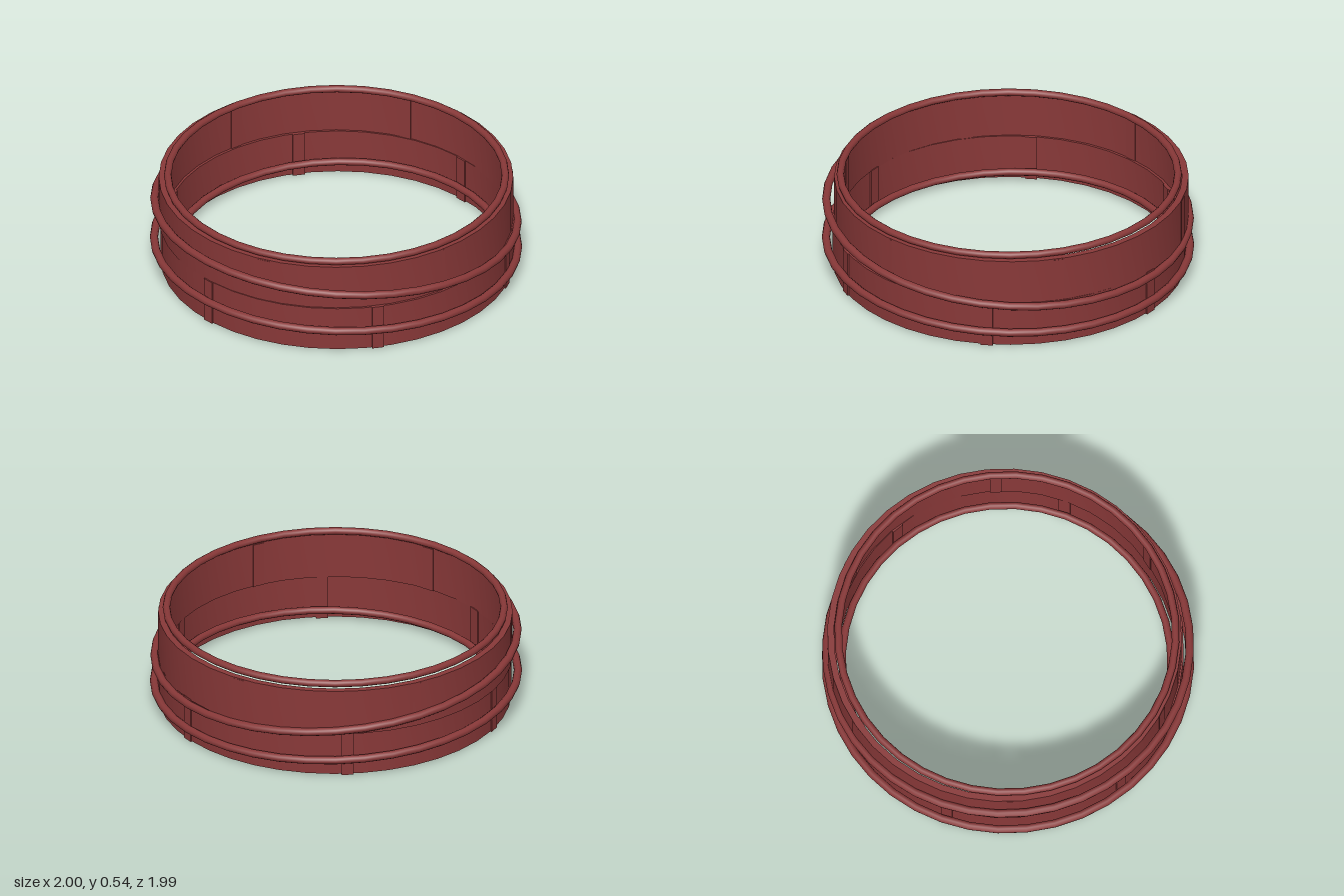
import * as THREE from 'three';
import { toCreasedNormals } from 'three/addons/utils/BufferGeometryUtils.js';

export function createModel() {
  const model = new THREE.Group();
  model.name = 'bandedRing';
  const darkRed = new THREE.MeshStandardMaterial({ name: 'dark red', color: 0x883838 });

  const add = (name, geometry, x, y, z) => {
    const mesh = new THREE.Mesh(geometry, darkRed);
    mesh.name = name;
    mesh.position.set(x, y, z);
    model.add(mesh);
    return mesh;
  };

  // Hollow wall with a rectangular section
  const band = (name, inner, outer, y0, y1, x, z) => {
    const profile = [[inner, y0], [outer, y0], [outer, y1], [inner, y1], [inner, y0]]
      .map(([r, y]) => new THREE.Vector2(r, y));
    return add(name, toCreasedNormals(new THREE.LatheGeometry(profile, 40), 0.6), x, 0, z);
  };
  band('lowerBand', 0.915, 0.948, 0.004, 0.255, 0, -0.012);
  band('upperBand', 0.915, 0.95, 0.25, 0.507, -0.015, -0.013);

  // Round hoops; rise is the height gained at the front per unit of radius
  const hoop = (name, radius, tube, x, y, z, rise) => {
    const geometry = new THREE.TorusGeometry(radius, tube, 10, 40).rotateX(Math.PI / 2);
    add(name, geometry, x, y, z).rotation.x = -Math.atan(rise);
  };
  hoop('topRim', 0.905, 0.02, -0.003, 0.525, -0.008, 0);
  hoop('upperHoop', 0.976, 0.022, 0, 0.312, -0.002, 0.09);
  hoop('lowerHoop', 0.976, 0.022, 0, 0.114, -0.002, 0.037);
  hoop('innerHoop', 0.882, 0.02, 0, 0.07, -0.016, -0.025);

  // Six upright strips set through each band
  const strips = (name, startDegrees, inner, outer, y0, y1, x, z) => {
    for (let i = 0; i < 6; i++) {
      const angle = THREE.MathUtils.degToRad(startDegrees + i * 60);
      const geometry = new THREE.BoxGeometry(0.065, y1 - y0, outer - inner);
      geometry.translate(0, 0, (inner + outer) / 2);
      add(name, geometry, x, (y0 + y1) / 2, z).rotation.y = angle;
    }
  };
  strips('lowerStrip', 7.3, 0.905, 0.953, 0, 0.255, 0, -0.012);
  strips('upperStrip', 30, 0.908, 0.949, 0.25, 0.5, -0.015, -0.013);

  return model;
}
